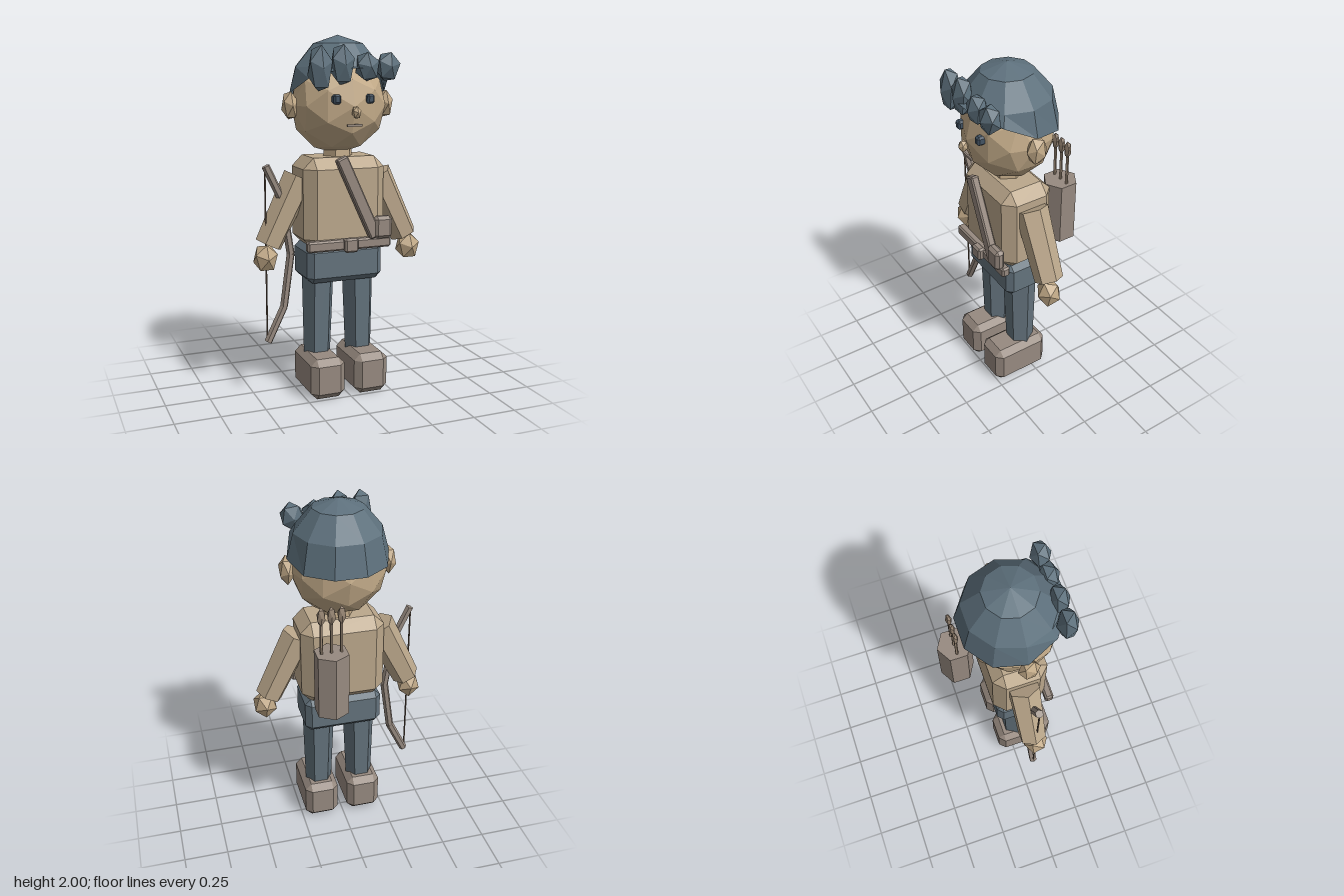
import * as THREE from 'three';
import { ConvexGeometry } from 'three/addons/geometries/ConvexGeometry.js';

const material = (name, color) => new THREE.MeshStandardMaterial({ name, color, flatShading: true });

export function createModel() {
  const skin = material('skin', 0xc2aa88);
  const shirt = material('shirt', 0xbca88c);
  const cloth = material('trousers', 0x64737d);
  const hairColor = material('hair', 0x5d707c);
  const leather = material('leather', 0x978a80);
  const wood = material('wood', 0x968472);
  const dark = material('eyes', 0x435363);
  const cord = material('cord', 0x6b5a4c);

  const model = new THREE.Group();
  model.name = 'archer';
  const add = (name, geometry, mat, x = 0, y = 0, z = 0) => {
    const mesh = new THREE.Mesh(geometry, mat);
    mesh.name = name;
    mesh.position.set(x, y, z);
    model.add(mesh);
    return mesh;
  };

  // Box with every edge cut by c
  const chamferBox = (w, h, d, c) => {
    const points = [];
    for (const sx of [-1, 1]) for (const sy of [-1, 1]) for (const sz of [-1, 1]) {
      const x = w / 2, y = h / 2, z = d / 2;
      points.push(
        new THREE.Vector3(sx * x, sy * (y - c), sz * (z - c)),
        new THREE.Vector3(sx * (x - c), sy * y, sz * (z - c)),
        new THREE.Vector3(sx * (x - c), sy * (y - c), sz * z));
    }
    return new ConvexGeometry(points);
  };

  // Faceted gem with a vertex at top and bottom
  const gem = (rx, ry, rz) =>
    new THREE.IcosahedronGeometry(1, 0).rotateX(-Math.atan(2 / (1 + Math.sqrt(5)))).scale(rx, ry, rz);

  // Six-sided tapered limb from a to b, with an edge line facing sideways
  const limb = (name, a, b, ra, rb, mat) => {
    const from = new THREE.Vector3(...a), to = new THREE.Vector3(...b);
    const dir = from.clone().sub(to);
    const mesh = add(name, new THREE.CylinderGeometry(ra, rb, dir.length(), 6).rotateY(Math.PI / 2), mat);
    mesh.position.copy(from).add(to).multiplyScalar(0.5);
    mesh.quaternion.setFromUnitVectors(new THREE.Vector3(0, 1, 0), dir.normalize());
    return mesh;
  };

  // Head and face
  add('head', new THREE.IcosahedronGeometry(1, 1).scale(0.268, 0.272, 0.25), skin, 0, 1.625, 0.04);
  add('neck', new THREE.CylinderGeometry(0.08, 0.09, 0.1, 6).rotateY(Math.PI / 2), skin, 0, 1.36, 0.04);
  add('nose', gem(0.026, 0.037, 0.028), skin, 0, 1.597, 0.308);
  add('mouth', new THREE.BoxGeometry(0.085, 0.012, 0.01), leather, 0, 1.528, 0.285);
  for (const s of [-1, 1]) {
    add('eye', chamferBox(0.042, 0.05, 0.06, 0.01), dark, s * 0.095, 1.665, 0.257);
    add('ear', gem(0.046, 0.085, 0.06), skin, s * 0.28, 1.625, 0.045);
  }

  // Hair cap, its lower rim lifted toward the forehead
  const cap = new THREE.SphereGeometry(1, 10, 3, 0, Math.PI * 2, 0, Math.PI / 2).scale(0.28, 0.34, 0.28);
  const p = cap.attributes.position;
  for (let i = 0; i < p.count; i++) {
    if (p.getY(i) < 0.01 && p.getZ(i) > -0.01) p.setY(i, 0.03 + 0.5 * p.getZ(i));
  }
  const capMaterial = hairColor;
  capMaterial.side = THREE.DoubleSide;
  add('hairCap', cap, capMaterial, 0, 1.66, 0.04);

  // Fringe: x, centre height, half height, lean
  for (const [x, y, h, lean] of [
    [-0.187, 1.825, 0.132, 0], [-0.064, 1.843, 0.118, 0],
    [0.078, 1.832, 0.085, 0.12], [0.196, 1.832, 0.085, -0.12],
  ]) add('hairTuft', gem(0.071, h, 0.057), hairColor, x, y, 0.265).rotation.z = lean;

  // Body
  add('torso', chamferBox(0.475, 0.505, 0.31, 0.06), shirt, 0, 1.093, 0.04);
  add('hips', chamferBox(0.445, 0.21, 0.272, 0.033), cloth, 0, 0.753, 0.04);

  // Limbs
  for (const s of [-1, 1]) {
    limb('arm', [s * 0.23, 1.235, 0.04], [s * 0.41, 0.868, 0.04], 0.092, 0.079, shirt);
    add('hand', gem(0.072, 0.086, 0.07), skin, s * 0.432, 0.796, 0.055);
    limb('leg', [s * 0.12, 0.78, 0.04], [s * 0.127, 0.215, 0.04], 0.098, 0.08, cloth);
    add('boot', chamferBox(0.2, 0.232, 0.345, 0.036), leather, s * 0.13, 0.116, 0.085);
  }

  // Belt, buckle, shoulder strap and pouch
  add('belt', chamferBox(0.49, 0.06, 0.05, 0.01), leather, 0, 0.872, 0.207);
  add('buckle', chamferBox(0.078, 0.078, 0.045, 0.01), leather, 0, 0.872, 0.237);
  add('strap', chamferBox(0.068, 0.49, 0.046, 0.008), leather, 0.046, 1.13, 0.23).rotation.z = 0.43;
  add('pouch', chamferBox(0.105, 0.125, 0.058, 0.018), leather, 0.187, 0.96, 0.238);

  // Bow and string in the right hand
  const bow = [[-0.425, 1.305], [-0.335, 1.115], [-0.288, 0.81], [-0.33, 0.51], [-0.425, 0.315]];
  for (let i = 0; i < bow.length - 1; i++) {
    limb('bowLimb', [...bow[i], 0.06], [...bow[i + 1], 0.06], 0.023, 0.023, leather);
  }
  add('bowString', new THREE.CylinderGeometry(0.005, 0.005, 0.95, 5), cord, -0.43, 0.81, 0.06);

  // Quiver with three arrows on the back
  add('quiver', new THREE.CylinderGeometry(0.098, 0.098, 0.37, 6), leather, 0.11, 1.07, -0.236);
  for (const x of [0.055, 0.11, 0.165]) {
    add('arrowShaft', new THREE.CylinderGeometry(0.009, 0.009, 0.24, 5), wood, x, 1.32, -0.238);
    add('arrowHead', gem(0.025, 0.056, 0.018), wood, x, 1.472, -0.238);
  }

  return model;
}
